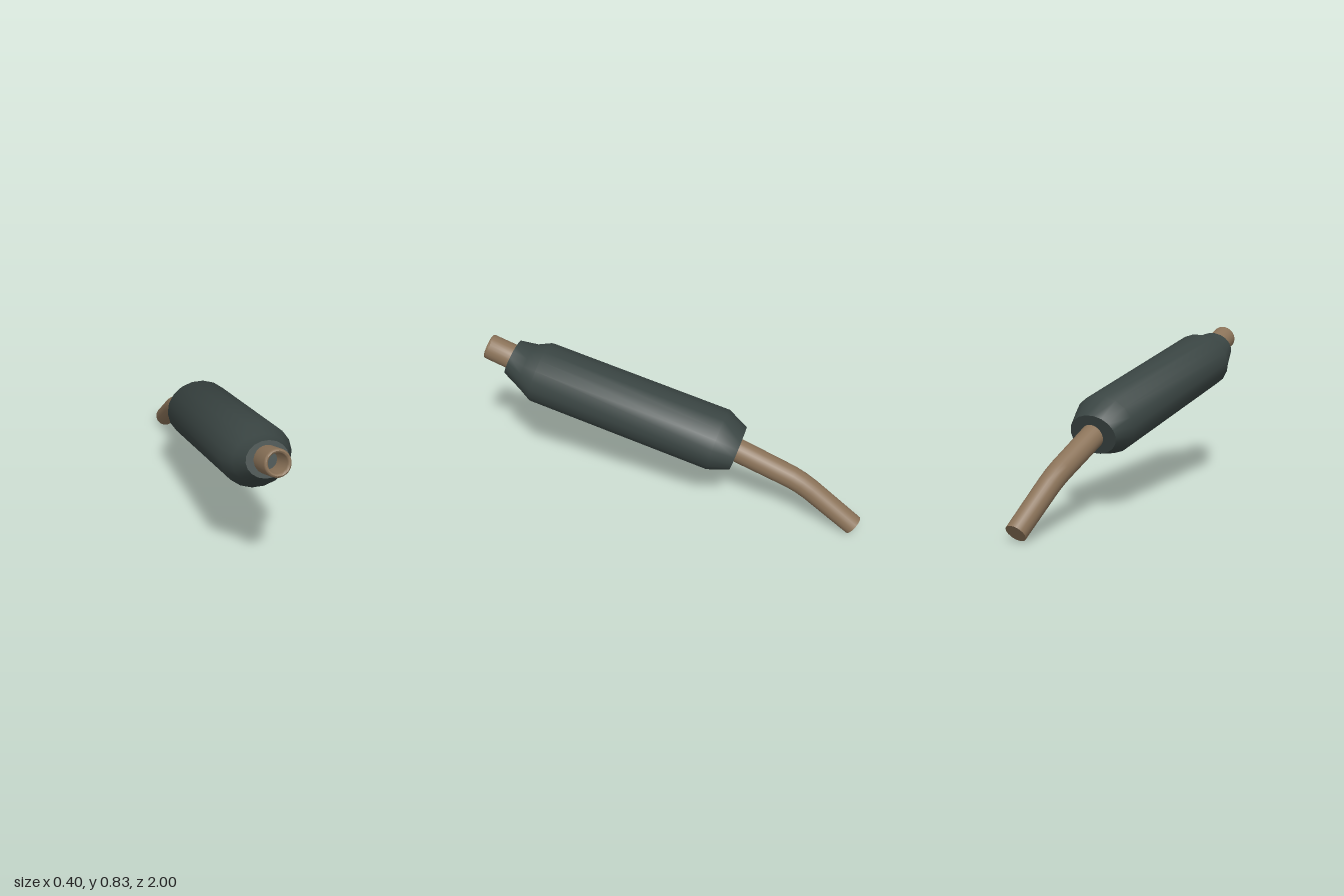
import * as THREE from 'three';
import { toCreasedNormals } from 'three/addons/utils/BufferGeometryUtils.js';

// Skin a row of elliptical rings, listed front to back.
// Each ring: [x, y, z, radiusX, radiusY, slope of its axis in y per z, in x per z]
function loft(rings, sides, crease) {
  const pos = [], index = [];
  const up = new THREE.Vector3(0, 1, 0);
  for (const [x, y, z, rx, ry, sy, sx] of rings) {
    const t = new THREE.Vector3(sx, sy, 1).normalize();
    const u = new THREE.Vector3().crossVectors(up, t).normalize();
    const v = new THREE.Vector3().crossVectors(t, u);
    for (let j = 0; j < sides; j++) {
      const a = (j / sides) * Math.PI * 2;
      const p = new THREE.Vector3(x, y, z)
        .addScaledVector(u, Math.cos(a) * rx)
        .addScaledVector(v, Math.sin(a) * ry);
      pos.push(p.x, p.y, p.z);
    }
  }
  for (let i = 0; i < rings.length - 1; i++) {
    for (let j = 0; j < sides; j++) {
      const k = (j + 1) % sides;
      const a = i * sides + j, b = i * sides + k, c = a + sides, d = b + sides;
      if (rings[i][3] > 0) index.push(a, c, b);
      if (rings[i + 1][3] > 0) index.push(b, c, d);
    }
  }
  const g = new THREE.BufferGeometry();
  g.setAttribute('position', new THREE.Float32BufferAttribute(pos, 3));
  g.setIndex(index);
  return toCreasedNormals(g, crease);
}

export function createModel() {
  const group = new THREE.Group();
  const darkMetal = new THREE.MeshStandardMaterial({ color: 0x3a4543 });
  darkMetal.name = 'darkMetal';
  const bronze = new THREE.MeshStandardMaterial({ color: 0x8b7359 });
  bronze.name = 'bronze';

  const add = (name, geometry, material) => {
    const mesh = new THREE.Mesh(geometry, material);
    mesh.name = name;
    group.add(mesh);
  };

  // Canister with a pinched front shoulder and a tapered rear
  add('canister', loft([
    [-0.042, 0.73, 0.85, 0, 0, 0.375, -0.03],
    [-0.042, 0.73, 0.85, 0.103, 0.086, 0.375, -0.03],
    [-0.037, 0.687, 0.763, 0.137, 0.114, 0.25, -0.05],
    [-0.032, 0.668, 0.695, 0.17, 0.152, 0.237, -0.058],
    [0.022, 0.445, -0.245, 0.174, 0.154, 0.237, -0.058],
    [0.025, 0.41, -0.35, 0.132, 0.104, 0.3, -0.03],
    [0.025, 0.41, -0.35, 0, 0, 0.3, -0.03],
  ], 18, 0.6), darkMetal);

  // Hollow front pipe: points are [distance along the axis, radius], from the bore floor outwards
  const bore = [[-0.15, 0], [-0.15, 0.044], [-0.012, 0.046], [-0.003, 0.05],
    [0, 0.056], [-0.004, 0.062], [-0.013, 0.065], [-0.18, 0.066]];
  add('frontPipe', loft(bore.map(([d, r]) =>
    [-0.043 - 0.01 * d, 0.777 + 0.35 * d, 0.978 + 0.937 * d, r, r, 0.375, -0.01]
  ), 24, 0.8), bronze);

  // Rear pipe, bent downwards, with a closed end
  add('rearPipe', loft([
    [0.03, 0.43, -0.28, 0.062, 0.062, 0.43, 0],
    [0.032, 0.283, -0.63, 0.058, 0.058, 0.46, -0.01],
    [0.034, 0.257, -0.68, 0.057, 0.057, 0.57, -0.04],
    [0.037, 0.225, -0.73, 0.056, 0.056, 0.7, -0.07],
    [0.057, 0.05, -0.967, 0.053, 0.053, 0.76, -0.08],
    [0.057, 0.05, -0.967, 0, 0, 0.76, -0.08],
  ], 24, 0.6), bronze);

  return group;
}
